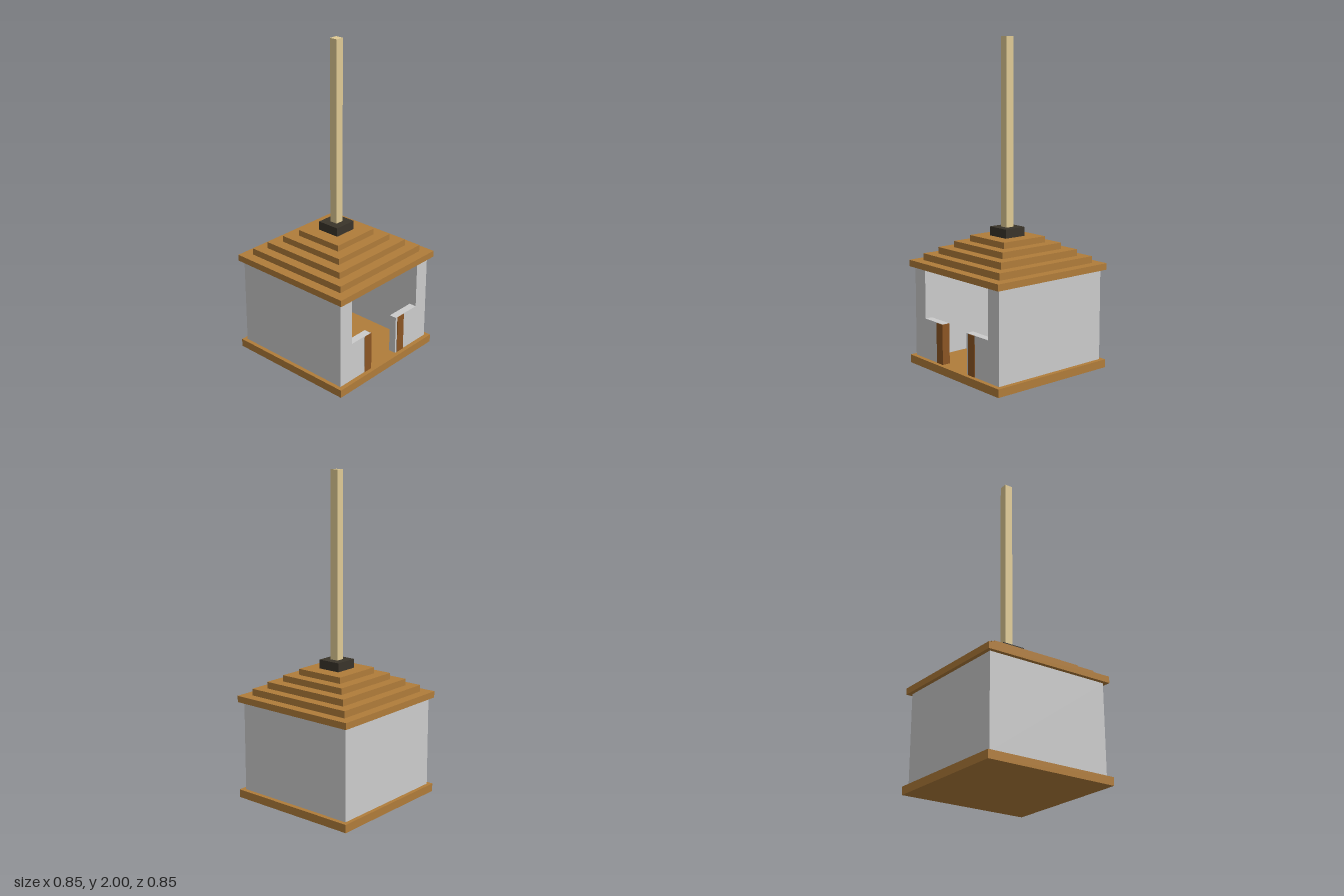
import * as THREE from 'three';

export function createModel() {
  const model = new THREE.Group();
  const mat = (color) => new THREE.MeshStandardMaterial({ color, flatShading: true });
  const grey = mat(0xcccccc), wood = mat(0xb07c3a), darkWood = mat(0x8b5523);
  const charcoal = mat(0x3a342a), pale = mat(0xdfca94);

  // Box given by its min and max on each axis
  const box = (name, material, [x0, x1], [y0, y1], [z0, z1]) => {
    const mesh = new THREE.Mesh(new THREE.BoxGeometry(x1 - x0, y1 - y0, z1 - z0), material);
    mesh.position.set((x0 + x1) / 2, (y0 + y1) / 2, (z0 + z1) / 2);
    mesh.name = name;
    model.add(mesh);
  };
  // Square slab centred on the vertical axis
  const slab = (name, material, half, y0, y1) =>
    box(name, material, [-half, half], [y0, y1], [-half, half]);

  slab('floor', wood, 0.425, 0, 0.05);

  // Thick walls, with the front left open above the counters
  const wallY = [0.05, 0.61];
  box('leftWall', grey, [0.3, 0.397], wallY, [-0.4, 0.397]);
  box('rightWall', grey, [-0.4, -0.3], wallY, [-0.4, 0.397]);
  box('backWall', grey, [-0.3, 0.3], wallY, [-0.4, -0.3]);

  // Low front counters either side of the doorway
  box('leftCounter', grey, [0.105, 0.3], [0.05, 0.3], [0.35, 0.397]);
  box('rightCounter', grey, [-0.3, -0.13], [0.05, 0.3], [0.35, 0.397]);

  // Door posts
  box('leftDoorPost', darkWood, [0.12, 0.18], [0.05, 0.298], [0.36, 0.4]);
  box('rightDoorPost', darkWood, [-0.185, -0.125], [0.05, 0.298], [0.348, 0.4]);

  // Stepped roof
  const tiers = [0.425, 0.362, 0.298, 0.23, 0.161];
  const levels = [0.61, 0.65, 0.692, 0.733, 0.772, 0.81];
  tiers.forEach((half, i) => slab('roofTier' + (i + 1), wood, half, levels[i], levels[i + 1]));

  // Mast and its socket
  slab('mastSocket', charcoal, 0.074, 0.81, 0.865);
  slab('mast', pale, 0.026, 0.865, 2);

  return model;
}
